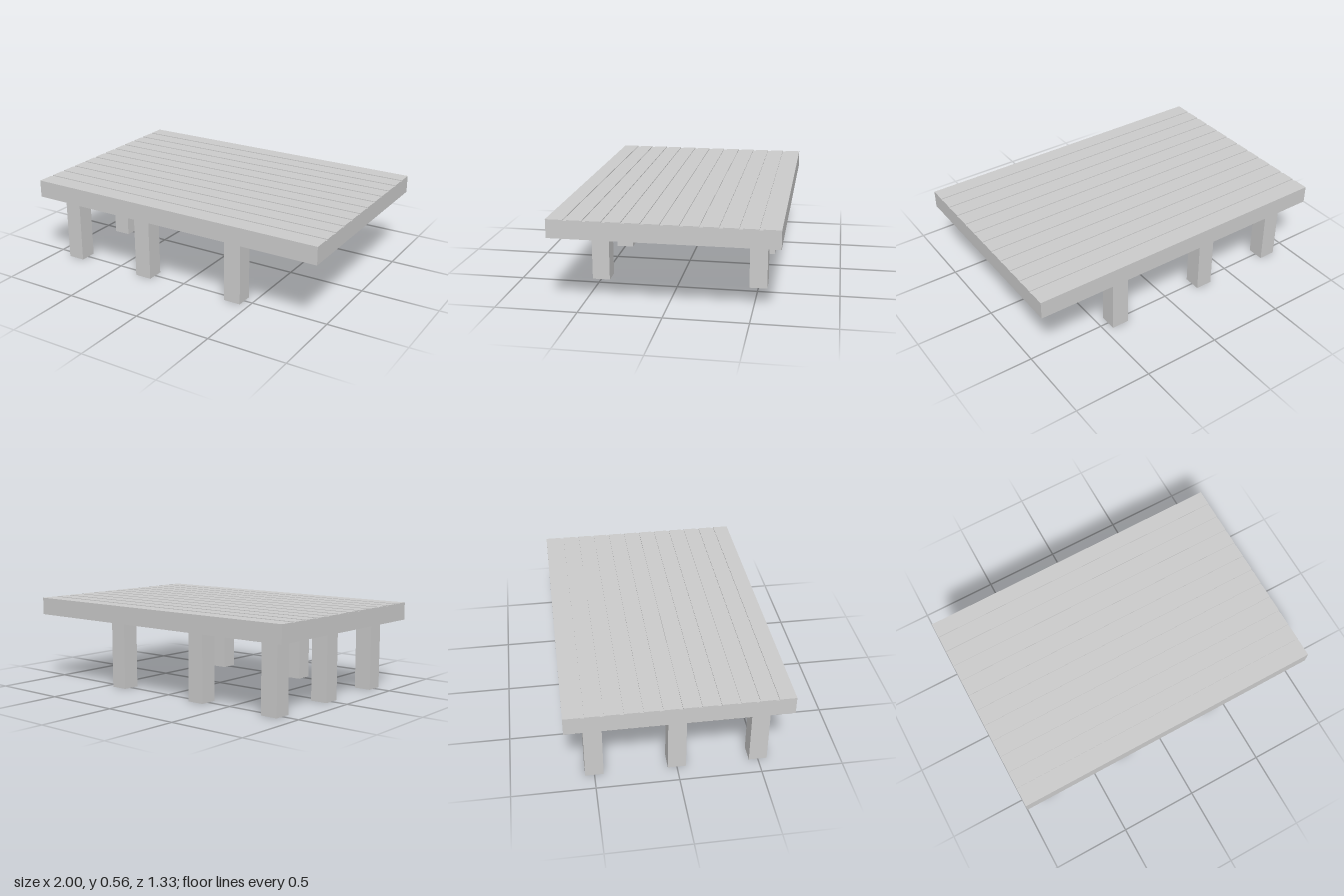
import * as THREE from 'three';

const material = new THREE.MeshStandardMaterial({ color: 0xcccccc, flatShading: true });

const LENGTH = 2, HALF_DEPTH = 0.667, UNDERSIDE = 0.444, TOP = 0.556;
const PITCH = 0.111, GROOVE = 0.022, GROOVE_DEPTH = 0.005, LEG = 0.111;

// Deck: a cross-section with shallow grooves between the planks, extruded along x
function createDeck() {
  const profile = new THREE.Shape();
  profile.moveTo(-HALF_DEPTH, UNDERSIDE);
  profile.lineTo(HALF_DEPTH, UNDERSIDE);
  profile.lineTo(HALF_DEPTH, TOP);
  for (let i = 5; i >= -5; i--) {
    const near = i * PITCH + GROOVE / 2, far = i * PITCH - GROOVE / 2;
    profile.lineTo(near, TOP);
    profile.lineTo(near, TOP - GROOVE_DEPTH);
    profile.lineTo(far, TOP - GROOVE_DEPTH);
    profile.lineTo(far, TOP);
  }
  profile.lineTo(-HALF_DEPTH, TOP);
  profile.closePath();
  const geometry = new THREE.ExtrudeGeometry(profile, { depth: LENGTH, bevelEnabled: false });
  geometry.translate(0, 0, -LENGTH / 2).rotateY(Math.PI / 2);
  const deck = new THREE.Mesh(geometry, material);
  deck.name = 'plankDeck';
  return deck;
}

// Square post from the ground to the underside of the deck
function createPost(x, z, name) {
  const post = new THREE.Mesh(new THREE.BoxGeometry(LEG, UNDERSIDE, LEG), material);
  post.position.set(x, UNDERSIDE / 2, z);
  post.name = name;
  return post;
}

export function createModel() {
  const model = new THREE.Group();
  model.name = 'plankPlatform';
  model.add(createDeck());

  // Three pairs of posts along the long sides
  for (const x of [-0.833, -0.278, 0.389]) {
    model.add(createPost(x, 0.5, 'frontPost'), createPost(x, -0.5, 'backPost'));
  }
  // One extra post in the middle of the right end
  model.add(createPost(-0.833, 0, 'endPost'));

  return model;
}
